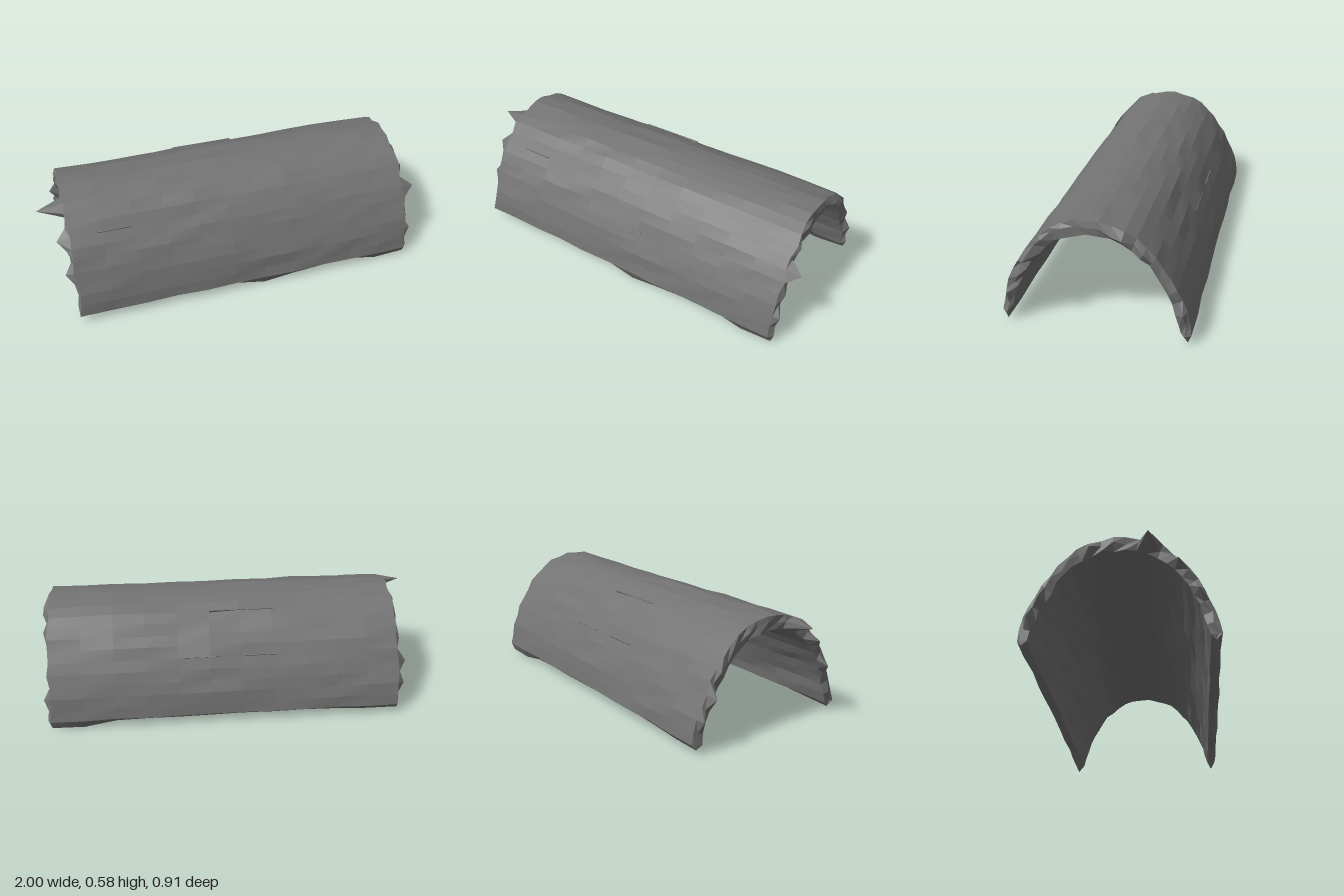
import * as THREE from 'three';

const SEG = 25;             // facets around the arch
const ROWS = 11;            // bark bands along the length
const X0 = -0.87, X1 = 0.93;

// Small seeded noise in -1..1
function makeNoise(seed) {
  return () => {
    seed = (seed * 16807) % 2147483647;
    return (seed / 2147483647) * 2 - 1;
  };
}

// Half profile [z, y] from the foot to the crown, mirrored into a full arch
function arch(half) {
  const mirrored = half.slice(0, -1).reverse().map(([z, y]) => [-z, y]);
  const pts = [...half, ...mirrored].map(([z, y]) => new THREE.Vector3(0, y, z));
  return new THREE.CatmullRomCurve3(pts).getSpacedPoints(SEG);
}

const OUTER = arch([[0.452, 0.055], [0.43, 0.17], [0.37, 0.31], [0.292, 0.43], [0.2, 0.522], [0.1, 0.566], [0, 0.58]]);
const INNER = arch([[0.405, 0.05], [0.375, 0.16], [0.33, 0.265], [0.265, 0.37], [0.19, 0.45], [0.1, 0.494], [0, 0.507]]);

// Height of the two lower edges at each band, front (+z) and back (-z)
const FOOT_FRONT = [0.025, 0.03, 0.035, 0.038, 0.038, 0.035, 0.005, 0.02, 0.035, 0.035, 0.004, 0.012];
const FOOT_BACK = [0.03, 0.03, 0.036, 0.038, 0.038, 0.038, 0.036, 0.035, 0.037, 0.035, 0.006, 0.012];

// How far the broken wood sticks out of each end, front foot to back foot
const TEAR_LEFT = [0, 0.01, 0, 0.01, 0.045, 0, 0.02, 0.06, 0.01, 0, 0.13, 0.01, 0, 0.01, 0, 0.015, 0, 0.01, 0.005, 0.015, 0, 0.045, 0.01, 0.03, 0, 0];
const TEAR_RIGHT = [0.015, 0.01, 0.03, 0, 0.02, 0, 0.07, 0, 0.02, 0, 0.01, 0, 0.005, 0.01, 0.03, 0.03, 0, 0.025, 0.01, 0, 0.005, 0.01, 0, 0.03, 0.01, 0.02];

// Narrow ridges in the bark: [x, arch index, length]
const RIDGES = [[-0.645, 7, 0.17], [-0.06, 16, 0.33], [-0.15, 20, 0.17], [0.16, 20, 0.2], [0.05, 4, 0.17]];

function barkGeometry() {
  const noise = makeNoise(4711);
  const points = [], pos = [], index = [];
  const RING = 2 * SEG + 4;
  const push = (x, y, z) => points.push([x, y, z]);

  // Each face owns its corners, so every bark plate is shaded on its own
  const face = (...corners) => {
    const base = pos.length / 3;
    for (const c of corners) pos.push(...points[c]);
    for (let t = 2; t < corners.length; t++) index.push(base, base + t - 1, base + t);
  };

  // Uneven point on an arch, shifted towards or away from its axis
  const bump = (x, p, amount) => {
    const s = 1 + noise() * amount;
    push(x, 0.05 + (p.y - 0.05) * s, p.z * s);
  };

  // Closed wall section per band: outside, back foot, inside, front foot
  for (let i = 0; i <= ROWS; i++) {
    const end = i === 0 || i === ROWS;
    const x = X0 + (X1 - X0) * i / ROWS;
    const px = () => x + (end ? noise() * 0.01 : 0);
    for (let j = 0; j <= SEG; j++) bump(px(), OUTER[j], 0.012);
    push(x, FOOT_BACK[i], -0.43 + noise() * 0.006);
    for (let j = SEG; j >= 0; j--) bump(px(), INNER[j], 0.014);
    push(x, FOOT_FRONT[i], 0.43 + noise() * 0.006);
  }
  for (let i = 0; i < ROWS; i++) {
    for (let k = 0; k < RING; k++) {
      const n = (k + 1) % RING, a = i * RING, b = a + RING;
      face(a + k, b + k, b + n, a + n);
    }
  }

  // Torn ends: a jagged line down the middle of the wall thickness
  const midOf = k => k <= SEG ? k : k === SEG + 1 ? SEG : k === RING - 1 ? 0 : 2 * SEG + 2 - k;
  const tornEnd = (row, x, side, tear) => {
    const ring = row * RING, mid = points.length;
    for (let j = 0; j <= SEG; j++) {
      const p = OUTER[j].clone().lerp(INNER[j], 0.45 + noise() * 0.2);
      push(x + side * tear[j], p.y, p.z);
    }
    for (let k = 0; k < RING; k++) {
      const n = (k + 1) % RING;
      const a = ring + k, b = ring + n, c = mid + midOf(n), d = mid + midOf(k);
      if (side > 0) {
        face(a, d, c);
        face(a, c, b);
      } else {
        face(a, c, d);
        face(a, b, c);
      }
    }
  };
  tornEnd(0, X0, -1, TEAR_LEFT);
  tornEnd(ROWS, X1, 1, TEAR_RIGHT);

  const geo = new THREE.BufferGeometry();
  geo.setAttribute('position', new THREE.Float32BufferAttribute(pos, 3));
  geo.setIndex(index);
  geo.computeVertexNormals();
  return geo;
}

export function createModel() {
  const group = new THREE.Group();
  group.name = 'hollowHalfLog';
  const material = new THREE.MeshStandardMaterial({ color: 0x737373 });
  const bark = new THREE.Mesh(barkGeometry(), material);
  bark.name = 'barkShell';
  group.add(bark);

  // Ridges lie along the log, standing upright on the bark
  for (const [x, j, length] of RIDGES) {
    const ridge = new THREE.Mesh(new THREE.BoxGeometry(length, 0.012, 0.004), material);
    ridge.name = 'barkRidge';
    ridge.position.set(x, OUTER[j].y, OUTER[j].z);
    ridge.rotation.x = Math.atan2(OUTER[j].z, OUTER[j].y);
    group.add(ridge);
  }
  return group;
}
